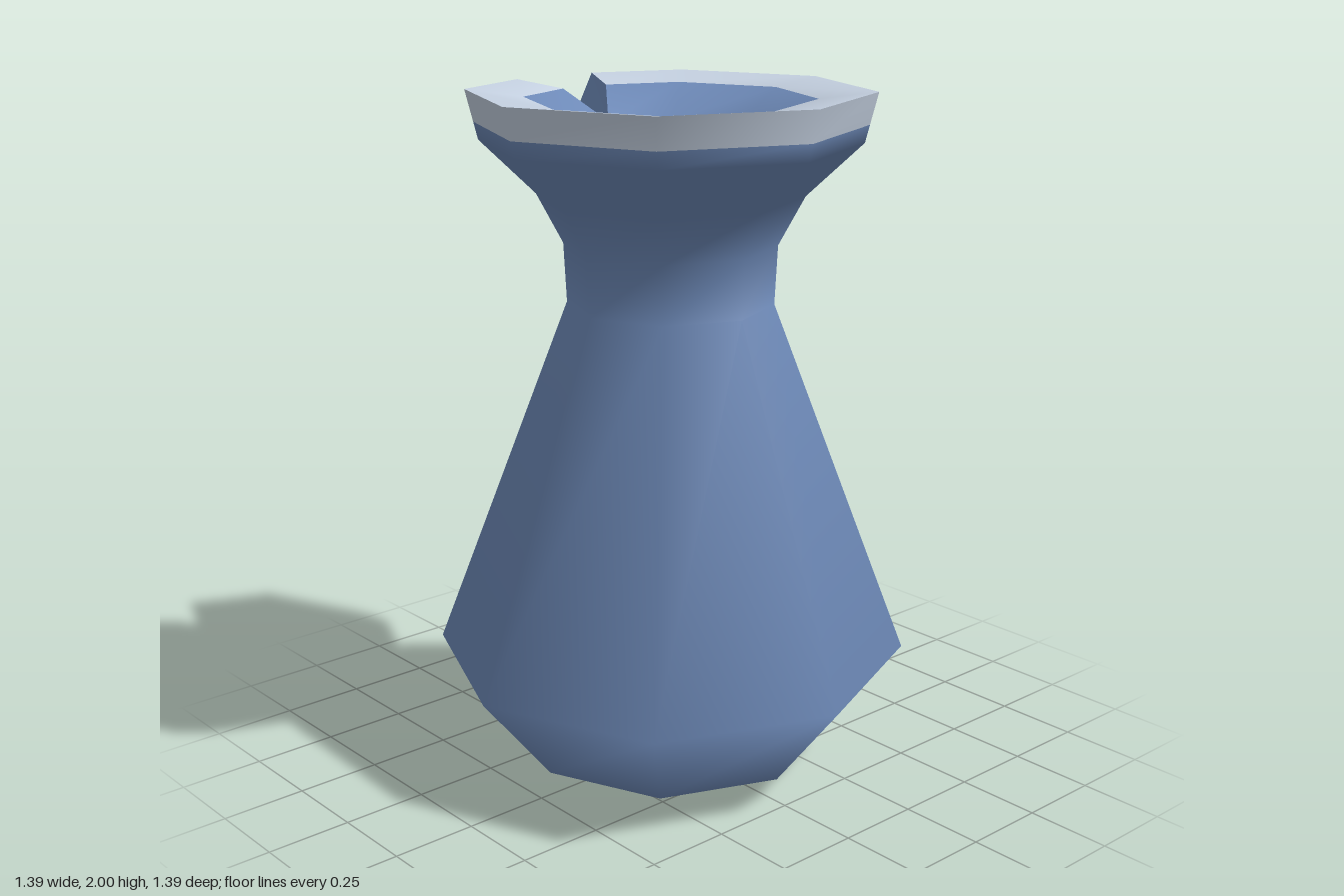
import * as THREE from 'three';
import { mergeVertices } from 'three/addons/utils/BufferGeometryUtils.js';

const SIDES = 8;
const V = (x, y, z) => new THREE.Vector3(x, y, z);

// Octagonal ring split at -x; the two ends are moved apart by `gap` to leave the chip open
function ring(r, y, gap = 0) {
  const pts = [];
  for (let k = 0; k <= SIDES; k++) {
    const a = Math.PI + (k / SIDES) * Math.PI * 2;
    pts.push(V(Math.cos(a) * r, y, Math.sin(a) * r));
  }
  const x = -r + gap * Math.tan(Math.PI / SIDES);
  pts[0].set(x, y, -gap);
  pts[SIDES].set(x, y, gap);
  return pts;
}

// Triangles joining neighbouring rings
function strip(rings) {
  const tris = [];
  for (let i = 0; i + 1 < rings.length; i++) {
    const a = rings[i], b = rings[i + 1];
    for (let k = 0; k < SIDES; k++) {
      tris.push([a[k], b[k], a[k + 1]], [b[k], b[k + 1], a[k + 1]]);
    }
  }
  return tris;
}

// One geometry from lists of triangles, one material group per list, with shared smooth normals
function surface(lists, smooth = true) {
  let geo = new THREE.BufferGeometry().setFromPoints(lists.flat(2));
  if (smooth) geo = mergeVertices(geo, 1e-4);
  let start = 0;
  lists.forEach((list, i) => {
    geo.addGroup(start, list.length * 3, i);
    start += list.length * 3;
  });
  geo.computeVertexNormals();
  return geo;
}

export function createModel() {
  const group = new THREE.Group();
  const blue = new THREE.MeshStandardMaterial({ color: 0x6d89b7, name: 'blue glaze' });
  const white = new THREE.MeshStandardMaterial({ color: 0xc4d0e0, name: 'pale rim' });
  const dark = new THREE.MeshStandardMaterial({ color: 0x39262f, name: 'dark interior' });
  const add = (name, geo, mat) => {
    const mesh = new THREE.Mesh(geo, mat);
    mesh.name = name;
    group.add(mesh);
    return mesh;
  };
  const lathe = (pts) => new THREE.LatheGeometry(pts.map(([x, y]) => new THREE.Vector2(x, y)), SIDES);

  // Rings around the chipped lip
  const flare = ring(0.38, 1.71);
  const lipLow = ring(0.54, 1.86, 0.06);
  const lipMid = ring(0.5525, 1.91, 0.089);
  const lipTop = ring(0.575, 2, 0.14);
  const lipInner = ring(0.41, 1.98, 0.08);
  const funnel = ring(0.27, 1.89);
  const throat = ring(0.185, 1.84);
  const chipOut = V(-0.48, 1.804, 0);

  // Outside of the body, with the pale band at the top
  const bodyTris = strip([
    ring(0.465, 0.07), ring(0.695, 0.355), ring(0.297, 1.4), ring(0.305, 1.57),
    flare, lipLow, lipMid,
  ]);
  bodyTris.push([flare[0], chipOut, lipLow[0]], [flare[0], lipLow[SIDES], chipOut]);
  add('body', surface([bodyTris, strip([lipMid, lipTop])]), [blue, white]);

  // Rim top and the funnel inside the mouth
  add('mouth', surface([strip([lipTop, lipInner]), strip([lipInner, funnel, throat])]), [white, blue]);

  // Broken faces of the chip in the lip
  const chipTris = [];
  for (const end of [0, SIDES]) {
    const poly = [funnel[0], lipInner[end], lipTop[end], lipMid[end], lipLow[end], chipOut];
    for (let i = 1; i + 1 < poly.length; i++) {
      chipTris.push(end === 0 ? [poly[0], poly[i], poly[i + 1]] : [poly[0], poly[i + 1], poly[i]]);
    }
  }
  add('chip', surface([chipTris], false), blue);

  // Shallow pointed underside
  add('base', lathe([[0, 0], [0.465, 0.07]]), blue);

  // Dark throat and the small spot at its bottom
  add('throat', lathe([[0.185, 1.84], [0.1, 1.42]]), dark);
  add('throatFloor', lathe([[0.1, 1.42], [0, 1.4]]), dark);
  const spot = add('throatSpot', new THREE.CircleGeometry(0.032, 16), blue);
  spot.rotation.x = -Math.PI / 2;
  spot.position.y = 1.409;

  return group;
}
